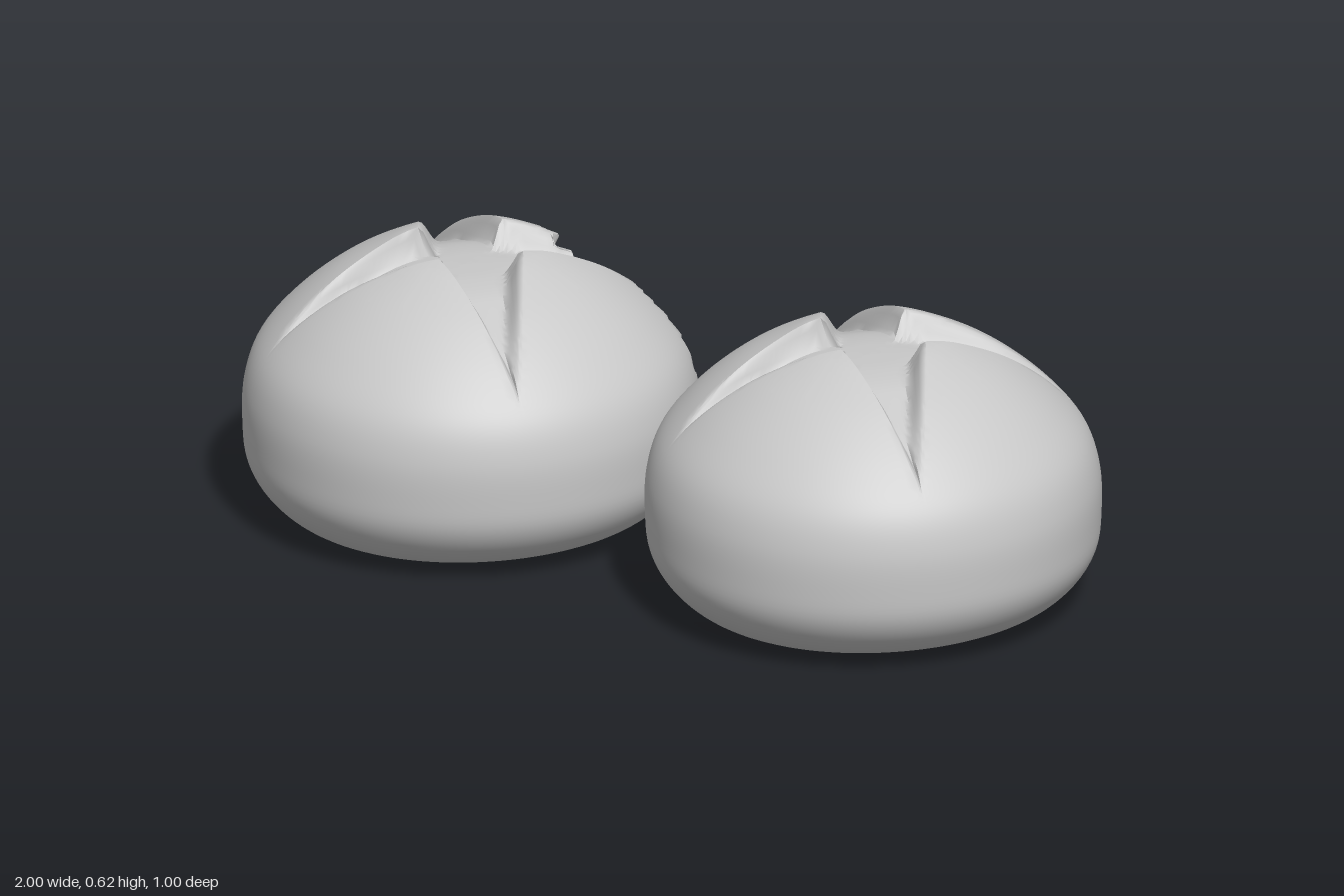
import * as THREE from 'three';
import { toCreasedNormals } from 'three/addons/utils/BufferGeometryUtils.js';

const DEG = Math.PI / 180;
const ROWS = 90, HALF = 25, FLOOR = 8;      // rows, columns per half quadrant, columns in half a cut
const CUT_END = 0.46, CUT_SLOPE = 0.257;    // each cut tapers to a point at CUT_END

// Side profile of the uncut bun, from the top centre to the bottom centre
const PROFILE = new THREE.CatmullRomCurve3([
  [0, 0.645], [0.08, 0.64], [0.15, 0.625], [0.2, 0.603], [0.3, 0.546], [0.4, 0.462], [0.465, 0.38],
  [0.49, 0.3], [0.493, 0.21], [0.485, 0.14], [0.455, 0.085], [0.4, 0.037], [0.32, 0.012], [0.15, 0.012], [0, 0.014],
].map(([r, y]) => new THREE.Vector3(r, y, 0)), false, 'centripetal').getSpacedPoints(ROWS);

// Bite outline: angle from +x towards the back, distance from the bun's axis
const BITE = [[30, 0.51], [33, 0.455], [38, 0.4], [45, 0.29], [52, 0.235], [61, 0.205],
  [75, 0.215], [90, 0.255], [98, 0.36], [103, 0.45], [107, 0.54]];

function biteRadius(deg, y) {
  for (let i = 1; i < BITE.length; i++) {
    const [a0, r0] = BITE[i - 1], [a1, r1] = BITE[i];
    if (deg < a0 || deg > a1) continue;
    const r = r0 + (r1 - r0) * (deg - a0) / (a1 - a0);
    // torn crumb, with a lower lip that reaches outwards
    const crumb = 0.011 * Math.sin(deg * 0.42 + y * 31) + 0.009 * Math.sin(deg * 0.23 - y * 47 + 1)
      + 0.006 * Math.sin(deg * 0.9 + y * 83);
    return r + crumb + 0.06 * Math.max(0, 1 - y / 0.45) ** 2;
  }
  return Infinity;
}

// Half angle of a cut at distance r, so that columns follow its edges
function cutAngle(r) {
  const k = CUT_END * CUT_SLOPE / (Math.max(r, 0.001) * Math.hypot(1, CUT_SLOPE));
  const a = Math.asin(Math.min(1, k)) - Math.atan(CUT_SLOPE);
  return THREE.MathUtils.clamp(a, 1.5 * DEG, 44 * DEG);
}

// How far the surface sinks inside a cut; one wall is steeper than the other
function cutDepth(r, phi) {
  const inside = CUT_SLOPE * (CUT_END - r * Math.cos(phi)) - r * Math.abs(Math.sin(phi));
  if (inside <= 0) return 0;
  const wall = phi > 0 ? 0.022 : 0.045;
  return 0.072 * (1 - (r / 0.48) ** 2) * THREE.MathUtils.smoothstep(inside, 0, wall);
}

function bunGeometry(bitten) {
  const positions = [], index = [], cols = HALF * 8;
  PROFILE.forEach((p, i) => {
    const top = i < ROWS * 0.45;
    const alpha = top ? cutAngle(p.x) : 1.5 * DEG;
    for (let q = 0; q < 4; q++) {
      for (let j = -HALF; j < HALF; j++) {
        const n = Math.abs(j);
        const phi = Math.sign(j) * (n <= FLOOR ? alpha * n / FLOOR
          : alpha + (45 * DEG - alpha) * (n - FLOOR) / (HALF - FLOOR));
        const theta = (45 + 90 * q) * DEG + phi;
        let r = p.x, y = p.y;
        if (top) y -= cutDepth(r, phi);
        // soft hand-shaped unevenness low on the bun
        else y += 0.007 * Math.sin(2 * theta + 0.6) * (r / 0.5) * Math.max(0, 1 - y / 0.3);
        if (bitten) {
          const deg = ((-theta / DEG) % 360 + 360) % 360;
          r = Math.min(r, biteRadius(deg, y));
        }
        positions.push(r * Math.cos(theta), y, r * Math.sin(theta) * 1.015);
      }
    }
  });
  for (let i = 0; i < ROWS; i++) {
    for (let j = 0; j < cols; j++) {
      const k = (j + 1) % cols;
      const a = i * cols + j, b = i * cols + k, c = a + cols, d = b + cols;
      index.push(a, b, c, b, d, c);
    }
  }
  const geometry = new THREE.BufferGeometry();
  geometry.setAttribute('position', new THREE.Float32BufferAttribute(positions, 3));
  geometry.setIndex(index);
  return toCreasedNormals(geometry, 40 * DEG);
}

export function createModel() {
  const group = new THREE.Group();
  group.name = 'breadBuns';
  const crust = new THREE.MeshStandardMaterial({ color: 0xc8c8c8 });
  crust.name = 'plain grey crust';

  const addBun = (name, x, bitten) => {
    const bun = new THREE.Mesh(bunGeometry(bitten), crust);
    bun.name = name;
    bun.position.set(x, -0.005, 0);
    group.add(bun);
  };
  addBun('wholeBun', 0.507, false);
  addBun('bittenBun', -0.507, true);
  return group;
}
